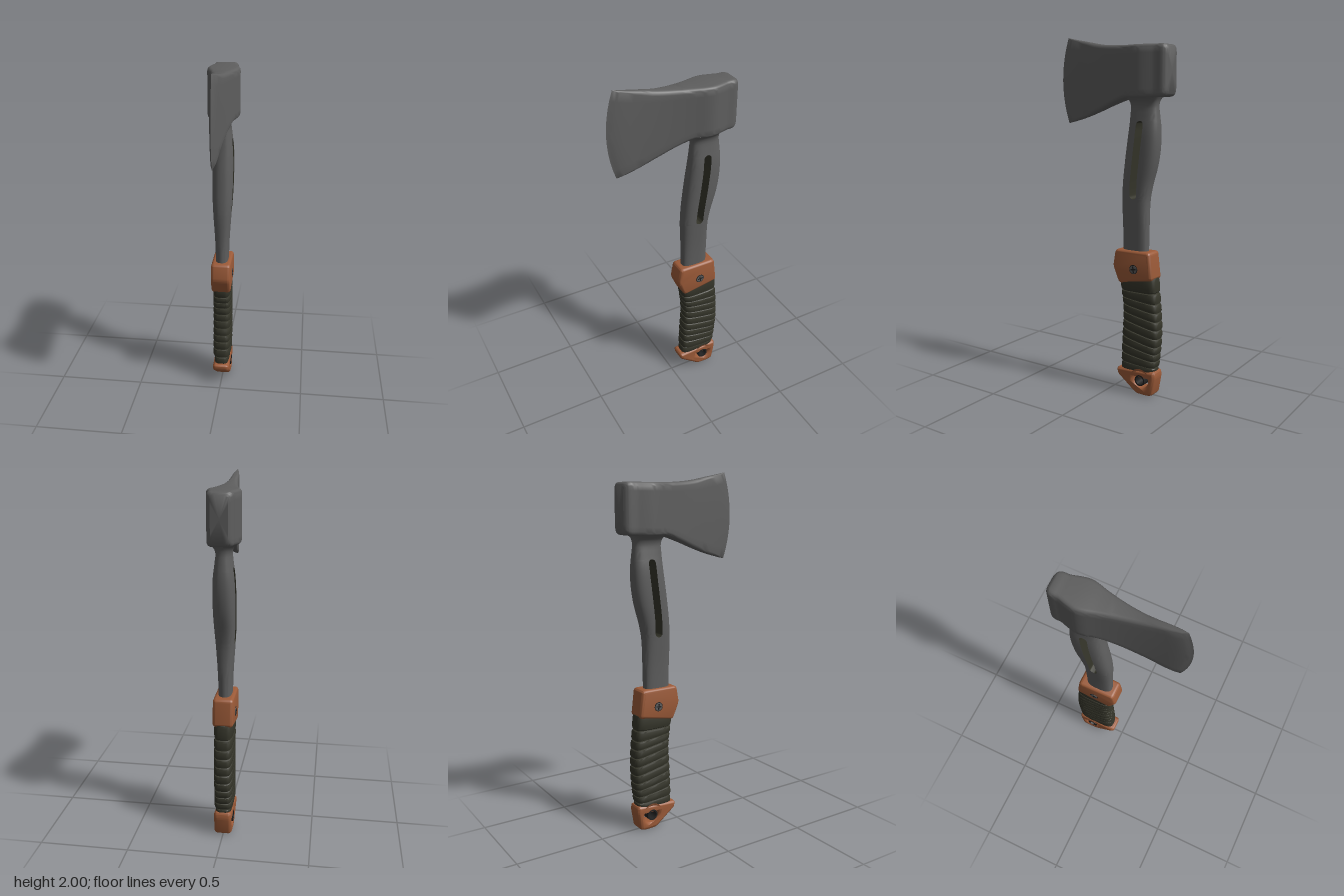
import * as THREE from 'three';
import { toCreasedNormals } from 'three/addons/utils/BufferGeometryUtils.js';

// Smooth interpolation through rows of [position, value, value, ...]
function spline(rows) {
  const size = rows[0].length - 1;
  const f = new THREE.CubicInterpolant(rows.map(r => r[0]), rows.flatMap(r => r.slice(1)), size, new Array(size));
  return t => Array.from(f.evaluate(t));
}

// Skin closed rings of [x, y, z] points, cap both ends, leave out the columns in skip
function loft(rings, skip = [], crease = 0.7) {
  const n = rings[0].length, pos = rings.flat(2), idx = [];
  rings.slice(1).forEach((_, i) => {
    for (let j = 0; j < n; j++) {
      if (skip.includes(j)) continue;
      const a = i * n + j, b = i * n + (j + 1) % n;
      idx.push(a, b, b + n, a, b + n, a + n);
    }
  });
  [0, rings.length - 1].forEach(r => {
    const c = [0, 1, 2].map(k => rings[r].reduce((s, p) => s + p[k], 0) / n);
    const ci = pos.length / 3;
    pos.push(...c);
    for (let j = 0; j < n; j++) {
      const a = r * n + j, b = r * n + (j + 1) % n;
      if (r) idx.push(ci, a, b); else idx.push(ci, b, a);
    }
  });
  // Turn faces outward if the enclosed volume is negative
  const v = i => new THREE.Vector3().fromArray(pos, i * 3);
  let vol = 0;
  for (let i = 0; i < idx.length; i += 3) vol += v(idx[i]).dot(v(idx[i + 1]).cross(v(idx[i + 2])));
  if (vol < 0) idx.reverse();
  const g = new THREE.BufferGeometry();
  g.setAttribute('position', new THREE.Float32BufferAttribute(pos, 3));
  g.setIndex(idx);
  return toCreasedNormals(g, crease);
}

// Side outline in (z, y), extruded across x with rounded edges
function sideSlab(points, halfWidth, bevel, hole) {
  const shape = new THREE.Shape();
  const p = points.map(q => new THREE.Vector2(...q)), n = p.length;
  p.forEach((c, i) => {
    const prev = p[(i + n - 1) % n], next = p[(i + 1) % n];
    const r = Math.min(0.02, c.distanceTo(prev) * 0.4, c.distanceTo(next) * 0.4);
    const a = c.clone().add(prev.clone().sub(c).setLength(r));
    const b = c.clone().add(next.clone().sub(c).setLength(r));
    if (i) shape.lineTo(a.x, a.y); else shape.moveTo(a.x, a.y);
    shape.quadraticCurveTo(c.x, c.y, b.x, b.y);
  });
  shape.closePath();
  if (hole) shape.holes.push(new THREE.Path().absarc(hole[0], hole[1], hole[2] + bevel, 0, Math.PI * 2, true));
  const depth = 2 * (halfWidth - bevel);
  const g = new THREE.ExtrudeGeometry(shape, {
    depth, bevelEnabled: true, bevelThickness: bevel, bevelSize: bevel, bevelOffset: -bevel, bevelSegments: 5, curveSegments: 10,
  });
  g.translate(0, 0, -depth / 2).rotateY(-Math.PI / 2);
  return toCreasedNormals(g, 0.7);
}

// Axe head: stations along z with half width, bottom and top
function headGeometry() {
  const rows = [
    [-0.358, 0.045, 1.695, 1.925], [-0.35, 0.056, 1.682, 1.936], [-0.335, 0.066, 1.674, 1.942],
    [-0.29, 0.069, 1.67, 1.943], [-0.25, 0.08, 1.668, 1.943], [-0.2, 0.09, 1.667, 1.943],
    [-0.16, 0.086, 1.667, 1.943], [-0.1, 0.069, 1.665, 1.943], [0, 0.047, 1.632, 1.947],
    [0.1, 0.032, 1.594, 1.956], [0.2, 0.022, 1.562, 1.972], [0.32, 0.012, 1.532, 1.992], [0.36, 0.0008, 1.523, 2],
  ];
  const at = spline(rows), rings = [];
  rows.forEach(([z], i) => {
    const next = rows[i + 1];
    const steps = next ? 3 : 1;
    for (let k = 0; k < steps; k++) {
      const zz = next ? z + (next[0] - z) * k / steps : z;
      const [w, lo, hi] = at(zz);
      const r = Math.min(0.022, w * 0.8), side = [];
      for (let a = 0; a <= 4; a++) {
        const t = a * Math.PI / 8;
        side.push([w - r + r * Math.sin(t), lo + r - r * Math.cos(t)]);
      }
      for (let m = 1; m < 10; m++) side.push([w, lo + r + (hi - lo - 2 * r) * m / 10]);
      for (let a = 4; a >= 0; a--) {
        const t = a * Math.PI / 8;
        side.push([w - r + r * Math.sin(t), hi - r + r * Math.cos(t)]);
      }
      // The cutting edge bows forward in the middle
      const bow = 0.043 * THREE.MathUtils.smoothstep(zz, -0.05, 0.36);
      const place = s => ([x, y]) => [s * x, y, zz - bow * (2 * (y - lo) / (hi - lo) - 1) ** 2];
      rings.push([...side.map(place(1)), ...side.slice().reverse().map(place(-1))]);
    }
  });
  return loft(rings, [], 0.6);
}

// Steel handle with a slot cut through it, and the lining of the slot
function handleGeometries() {
  const body = spline([ // y, front z, back z, half width
    [0.78, -0.065, -0.22, 0.035], [0.95, -0.064, -0.221, 0.04], [1.12, -0.061, -0.225, 0.051], [1.2, -0.066, -0.24, 0.056],
    [1.3, -0.077, -0.268, 0.059], [1.4, -0.09, -0.284, 0.059], [1.5, -0.104, -0.287, 0.055], [1.58, -0.111, -0.28, 0.045],
    [1.63, -0.112, -0.276, 0.042], [1.655, -0.102, -0.281, 0.055], [1.675, -0.085, -0.292, 0.08]]);
  const slot = spline([[1.12, -0.15], [1.2, -0.154], [1.35, -0.172], [1.45, -0.184], [1.545, -0.192]]);
  const y0 = 1.12, y1 = 1.545, r = 0.022, n = 9, ys = [];
  for (let y = 0.78; y < y0 - 0.01; y += 0.04) ys.push(y);
  for (let k = 0; k <= 5; k++) ys.push(y0 + r * (1 - Math.cos(k * Math.PI / 10)));
  for (let k = 1; k < 12; k++) ys.push(y0 + r + (y1 - y0 - 2 * r) * k / 12);
  for (let k = 5; k >= 0; k--) ys.push(y1 - r * (1 - Math.cos(k * Math.PI / 10)));
  ys.push(1.57, 1.59, 1.61, 1.625, 1.64, 1.65, 1.66, 1.668, 1.675);
  const rings = ys.map(y => {
    const [zf, zb, w] = body(y), zc = (zf + zb) / 2, h = (zf - zb) / 2;
    const d = Math.max(y0 + r - y, y - y1 + r, 0), s = Math.sqrt(Math.max(r * r - d * d, 0));
    const mid = slot(y)[0], right = [];
    const point = z => [w * Math.max(0, 1 - Math.abs((z - zc) / h) ** 3) ** (1 / 2.6), y, z];
    for (let k = 0; k <= n; k++) right.push(point(zf + (mid + s - zf) * (1 - Math.cos(k * Math.PI / 2 / n))));
    for (let k = n; k >= 0; k--) right.push(point(zb + (mid - s - zb) * (1 - Math.cos(k * Math.PI / 2 / n))));
    return [...right, ...right.slice(1, -1).reverse().map(([x, yy, z]) => [-x, yy, z])];
  });
  const pos = [];
  for (let i = 1; i < rings.length; i++) {
    if (ys[i - 1] < y0 - 1e-6 || ys[i] > y1 + 1e-6) continue;
    for (const [a, b] of [[n, 3 * n + 2], [n + 1, 3 * n + 1]]) {
      const [p, q, u, v] = [rings[i - 1][a], rings[i - 1][b], rings[i][b], rings[i][a]];
      // Wind each wall toward the middle of the slot
      pos.push(...(a === n ? [p, u, q, p, v, u] : [p, q, u, p, u, v]).flat());
    }
  }
  const lining = new THREE.BufferGeometry();
  lining.setAttribute('position', new THREE.Float32BufferAttribute(pos, 3));
  return [loft(rings, [n, 3 * n + 1], 0.8), toCreasedNormals(lining, 0.7)];
}

// Cord grip: slanted bulging bands with a groove between neighbours
function gripGeometry() {
  const body = spline([[0.12, -0.062, -0.278], [0.2, -0.064, -0.287], [0.3, -0.068, -0.297], [0.4, -0.074, -0.302],
    [0.5, -0.073, -0.298], [0.6, -0.062, -0.287], [0.68, -0.055, -0.278]]);
  const edges = [[0.135, -0.05], [0.175, 0.05], [0.222, 0.13], [0.268, 0.18], [0.312, 0.2], [0.36, 0.2], [0.41, 0.2],
    [0.458, 0.18], [0.505, 0.16], [0.55, 0.1], [0.6, 0], [0.675, -0.16]];
  const rings = [];
  for (let i = 0; i + 1 < edges.length; i++) {
    for (const [t, inset] of [[0.02, 0.009], [0.08, 0.003], [0.25, 0], [0.75, 0], [0.92, 0.003], [0.98, 0.009]]) {
      const [y, slope] = [0, 1].map(k => THREE.MathUtils.lerp(edges[i][k], edges[i + 1][k], t));
      const [zf, zb] = body(y), zc = (zf + zb) / 2, h = (zf - zb) / 2 - inset;
      const w = (i ? 0.053 : 0.045) - inset;
      rings.push(Array.from({ length: 36 }, (_, j) => {
        const a = j * Math.PI / 18, c = Math.cos(a), s = Math.sin(a);
        const dz = h * Math.sign(c) * Math.abs(c) ** 0.5;
        return [w * Math.sign(s) * Math.abs(s) ** 0.5, y + slope * dz, zc + dz];
      }));
    }
  }
  return loft(rings, [], 0.6);
}

export function createModel() {
  const model = new THREE.Group();
  model.name = 'hatchet';
  const material = (name, color, side = THREE.FrontSide) => {
    const m = new THREE.MeshStandardMaterial({ color, side });
    m.name = name;
    return m;
  };
  const steel = material('steel', 0x5e5e5e);
  const brown = material('brown', 0x9b5a38);
  const cord = material('dark olive', 0x35352a, THREE.DoubleSide);
  const dark = material('dark recess', 0x222222, THREE.DoubleSide);
  const add = (name, geometry, mat, parent = model) => {
    const mesh = new THREE.Mesh(geometry, mat);
    mesh.name = name;
    parent.add(mesh);
    return mesh;
  };

  add('axeHead', headGeometry(), steel);
  const [handle, lining] = handleGeometries();
  add('handle', handle, steel);
  add('slotLining', lining, cord);
  add('gripWrap', gripGeometry(), cord);

  // Brown collar and pommel
  add('collar', sideSlab([[-0.035, 0.832], [-0.258, 0.832], [-0.277, 0.676], [-0.06, 0.638], [-0.018, 0.735]], 0.057, 0.018), brown);
  add('pommel', sideSlab([[-0.04, 0.138], [-0.288, 0.154], [-0.294, 0.12], [-0.275, 0.012], [-0.24, 0.003],
    [-0.17, 0.005], [-0.045, 0.1]], 0.05, 0.02, [-0.2, 0.09, 0.028]), brown);

  // Eyelet through the pommel
  const profile = [[0.024, -0.051], [0.032, -0.051], [0.032, 0.051], [0.024, 0.051], [0.024, -0.051]];
  const eyelet = new THREE.LatheGeometry(profile.map(p => new THREE.Vector2(...p)), 24);
  add('eyelet', toCreasedNormals(eyelet.rotateZ(Math.PI / 2).translate(0, 0.09, -0.2), 0.7), dark);

  // Cross-head screw on each side of the collar
  for (const side of [-1, 1]) {
    const screw = new THREE.Group();
    screw.name = side > 0 ? 'leftScrew' : 'rightScrew';
    screw.position.set(side * 0.057, 0.73, -0.16);
    model.add(screw);
    add('screwRim', new THREE.CylinderGeometry(0.026, 0.026, 0.003, 24).rotateZ(Math.PI / 2), dark, screw);
    add('screwHead', new THREE.CylinderGeometry(0.022, 0.022, 0.006, 24).rotateZ(Math.PI / 2), steel, screw);
    for (const turn of [0.15, 0.15 + Math.PI / 2]) {
      add('screwSlot', new THREE.BoxGeometry(0.008, 0.034, 0.007).rotateX(turn), dark, screw);
    }
  }
  return model;
}
